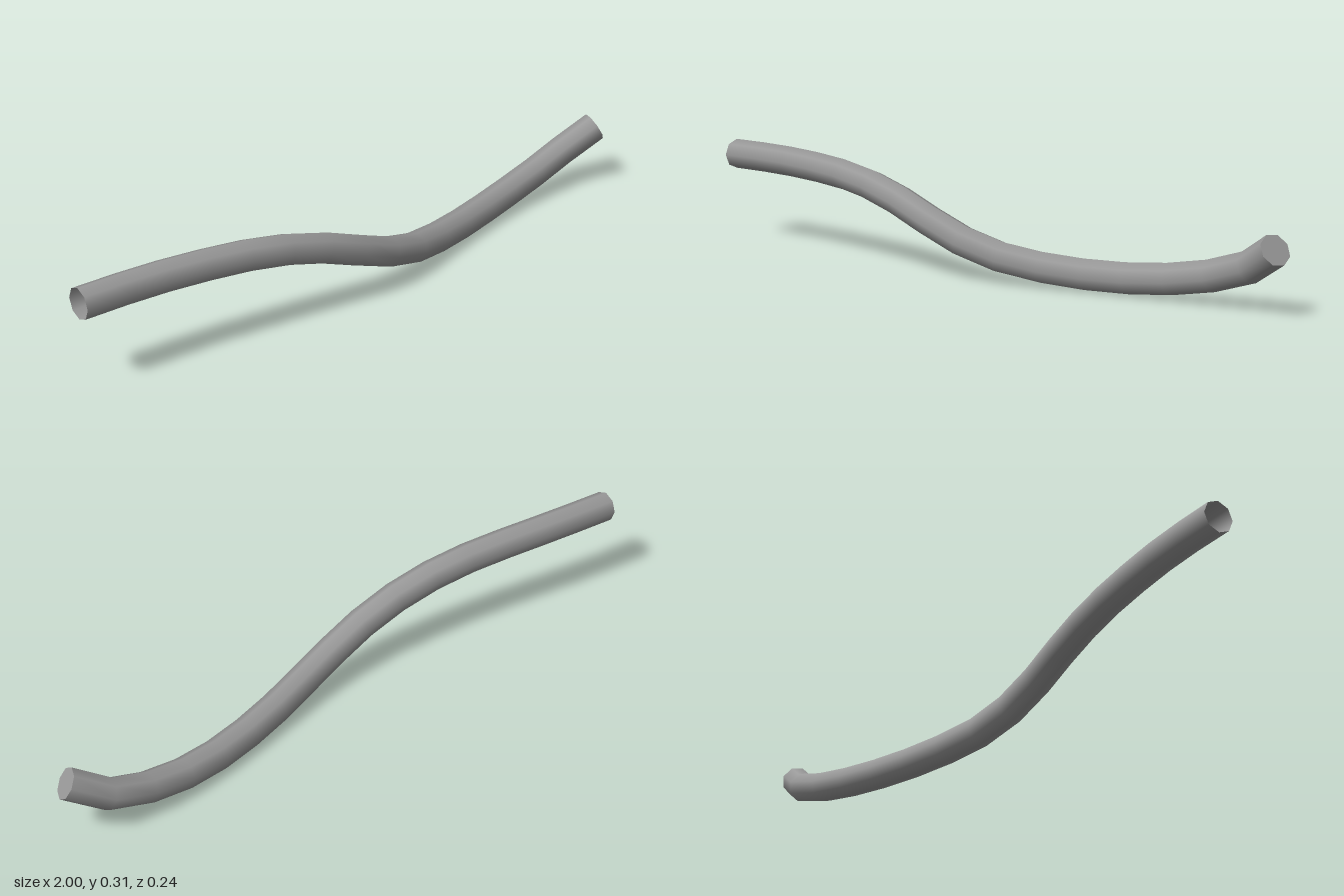
import * as THREE from 'three';

export function createModel() {
  const SIDES = 8, SEGMENTS = 16, RADIUS = 0.046;
  const group = new THREE.Group();
  group.name = 'curvedTube';
  const material = new THREE.MeshStandardMaterial({ color: 0x999999, side: THREE.DoubleSide });

  // Centre line, from the open end to the capped end
  const path = new THREE.CatmullRomCurve3([
    [-1, 0.263, -0.032], [-0.8, 0.264, -0.015], [-0.6, 0.259, 0.013],
    [-0.4, 0.241, 0.043], [-0.2, 0.19, 0.067], [-0.08, 0.142, 0.073],
    [0.07, 0.089, 0.059], [0.22, 0.06, 0.023], [0.4, 0.047, -0.021],
    [0.57, 0.053, -0.055], [0.73, 0.077, -0.071], [0.875, 0.122, -0.069],
    [0.975, 0.184, -0.03],
  ].map(p => new THREE.Vector3(...p)));

  // Tube wall, open at the start
  const wall = new THREE.TubeGeometry(path, SEGMENTS, RADIUS, SIDES, false);
  const tube = new THREE.Mesh(wall, material);
  tube.name = 'tubeWall';
  group.add(tube);

  // Flat cap made from the last ring of the wall
  const ring = [];
  for (let i = 0; i < SIDES; i++) {
    ring.push(new THREE.Vector3().fromBufferAttribute(wall.attributes.position, SEGMENTS * (SIDES + 1) + i));
  }
  const centre = path.getPointAt(1);
  const outward = path.getTangentAt(1);
  const corners = [];
  for (let i = 0; i < SIDES; i++) {
    const a = ring[i], b = ring[(i + 1) % SIDES];
    const normal = a.clone().sub(centre).cross(b.clone().sub(centre));
    corners.push(centre, ...(normal.dot(outward) > 0 ? [a, b] : [b, a]));
  }
  const capGeometry = new THREE.BufferGeometry().setFromPoints(corners);
  capGeometry.computeVertexNormals();
  const cap = new THREE.Mesh(capGeometry, material);
  cap.name = 'endCap';
  group.add(cap);

  return group;
}
